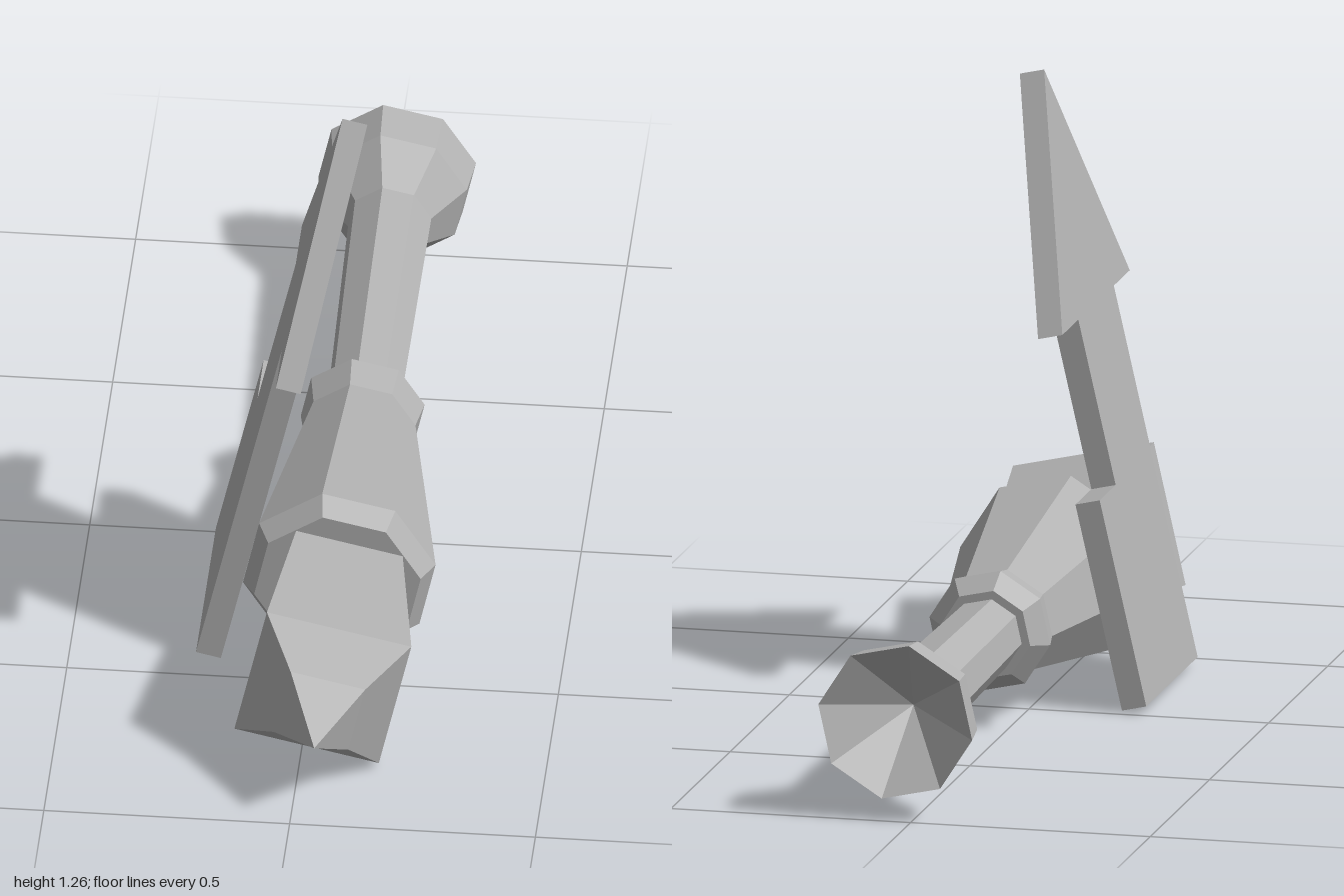
import * as THREE from 'three';

const steel = new THREE.MeshStandardMaterial({ color: 0xb2b2b2, flatShading: true });
steel.name = 'grey steel';
const rad = THREE.MathUtils.degToRad;

// Faceted solid turned around the slightly tilted long axis; profile is [radius, z] from back to front
function turned(name, profile, sides, firstCorner) {
  const points = profile.map(([r, z]) => new THREE.Vector2(r, z));
  const geometry = new THREE.LatheGeometry(points, sides, rad(firstCorner + 90));
  geometry.rotateX(Math.PI / 2);
  const p = geometry.attributes.position;
  for (let i = 0; i < p.count; i++) {
    const z = p.getZ(i);
    p.setXYZ(i, p.getX(i) + 0.041 + 0.009 * z, p.getY(i) + 0.204 - 0.008 * z, z);
  }
  geometry.computeVertexNormals();
  const mesh = new THREE.Mesh(geometry, steel);
  mesh.name = name;
  return mesh;
}

// Flat arrow-shaped plate, outlined in [z, height along the plate]
function arrowPlate() {
  const outline = [
    [0.01, 0], [0.445, 0], [0.445, 0.784], [0.58, 0.784], [0.3, 1.275],
    [0.01, 0.784], [0.145, 0.784], [0.145, 0.435], [0.01, 0.435],
  ];
  const shape = new THREE.Shape(outline.map(([z, v]) => new THREE.Vector2(z, v)));
  const geometry = new THREE.ExtrudeGeometry(shape, { depth: 0.052, bevelEnabled: false });
  geometry.translate(0, 0, -0.026);
  geometry.rotateY(-Math.PI / 2);
  geometry.rotateZ(rad(-12.9));
  geometry.translate(-0.217, 0.016, 0);
  const mesh = new THREE.Mesh(geometry, steel);
  mesh.name = 'arrowPlate';
  return mesh;
}

export function createModel() {
  const model = new THREE.Group();
  model.name = 'arrowMace';

  // Handle with a hollow flared end
  model.add(turned('handle', [
    [0, -0.84], [0.163, -1], [0.152, -0.91], [0.086, -0.82], [0.077, -0.2], [0, -0.2],
  ], 8, 10));

  // Eight-sided swelling with a collar at its back
  model.add(turned('body', [
    [0, -0.21], [0.095, -0.21], [0.128, -0.17], [0.115, -0.1], [0.199, 0.395], [0.172, 0.44], [0, 0.44],
  ], 8, 10));

  // Square flared head ending in a point
  model.add(turned('head', [
    [0, 0.42], [0.154, 0.42], [0.213, 0.79], [0.11, 0.87], [0, 1],
  ], 4, 32.3));

  model.add(arrowPlate());
  return model;
}
